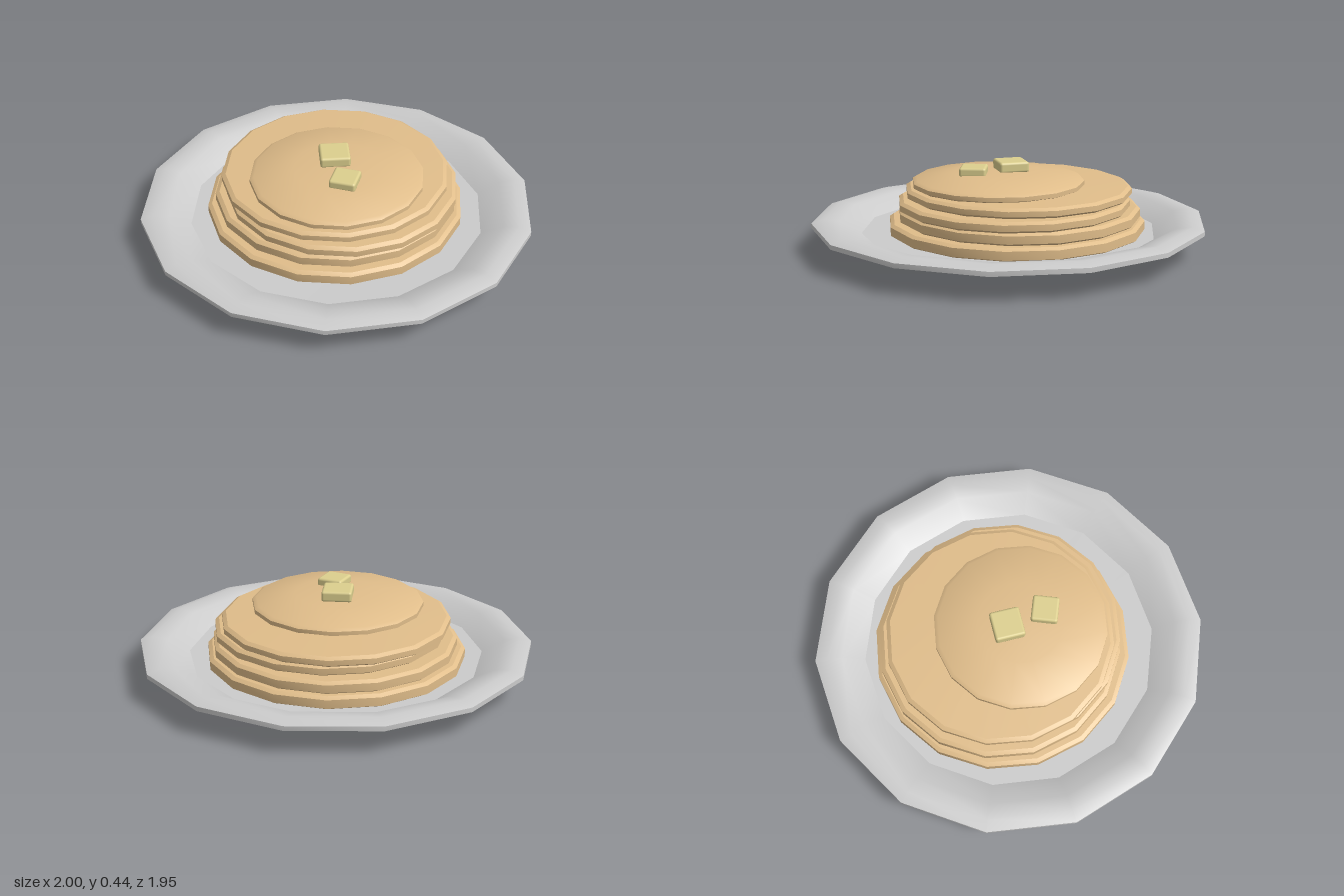
import * as THREE from 'three';
import { toCreasedNormals } from 'three/addons/utils/BufferGeometryUtils.js';
import { RoundedBoxGeometry } from 'three/addons/geometries/RoundedBoxGeometry.js';

const plateMaterial = new THREE.MeshStandardMaterial({ color: 0xcccccc });
const pancakeMaterial = new THREE.MeshStandardMaterial({ color: 0xe0bd8a });
const butterMaterial = new THREE.MeshStandardMaterial({ color: 0xdccf8e });

// Revolved solid; profile runs from the bottom centre, around the rim, to the top centre
function turned(name, profile, sides, phiStart, material) {
  const points = profile.map(([r, y]) => new THREE.Vector2(r, y));
  const geometry = new THREE.LatheGeometry(points, sides, phiStart);
  const mesh = new THREE.Mesh(toCreasedNormals(geometry, 0.5), material);
  mesh.name = name;
  return mesh;
}

// Flat cake with rounded edge and a slightly domed top
function pancake(name, x, z, r, bottom, edge, dome) {
  const b = 0.012;
  const mesh = turned(name, [
    [0, bottom], [r - 0.02, bottom], [r, bottom + b],
    [r, edge - b], [r - 0.02, edge],
    [r * 0.5, edge + dome * 0.8], [0, edge + dome],
  ], 16, 0, pancakeMaterial);
  mesh.position.set(x, 0, z);
  return mesh;
}

function butter(name, x, y, z, size, height, turn) {
  const mesh = new THREE.Mesh(new RoundedBoxGeometry(size, height, size, 2, 0.013), butterMaterial);
  mesh.name = name;
  mesh.position.set(x, y, z);
  mesh.rotation.y = turn;
  return mesh;
}

export function createModel() {
  const model = new THREE.Group();
  model.name = 'pancakePlate';

  // Plate: shallow underside, thin lip, rim curving down into a flat well
  model.add(turned('plate', [
    [0, 0], [0.46, 0.004], [0.69, 0.043], [1, 0.125],
    [1, 0.148], [0.94, 0.165], [0.86, 0.152], [0.75, 0.09], [0, 0.08],
  ], 14, Math.PI / 2, plateMaterial));

  // Stack: x, z, radius, bottom, top edge, dome height
  const stack = new THREE.Group();
  stack.name = 'pancakeStack';
  [
    [-0.018, -0.035, 0.655, 0.083, 0.15, 0.01],
    [-0.018, -0.048, 0.618, 0.15, 0.213, 0.004],
    [0.02, -0.025, 0.588, 0.212, 0.266, 0.006],
    [-0.022, -0.045, 0.577, 0.268, 0.318, 0.015],
    [0.016, 0.055, 0.437, 0.315, 0.36, 0.036],
  ].forEach((p, i) => stack.add(pancake(`pancake${i + 1}`, ...p)));
  model.add(stack);

  // Butter pats on top
  model.add(butter('largeButter', -0.015, 0.415, -0.008, 0.152, 0.055, 0.36));
  model.add(butter('smallButter', 0.09, 0.405, 0.17, 0.134, 0.048, 0));

  return model;
}
